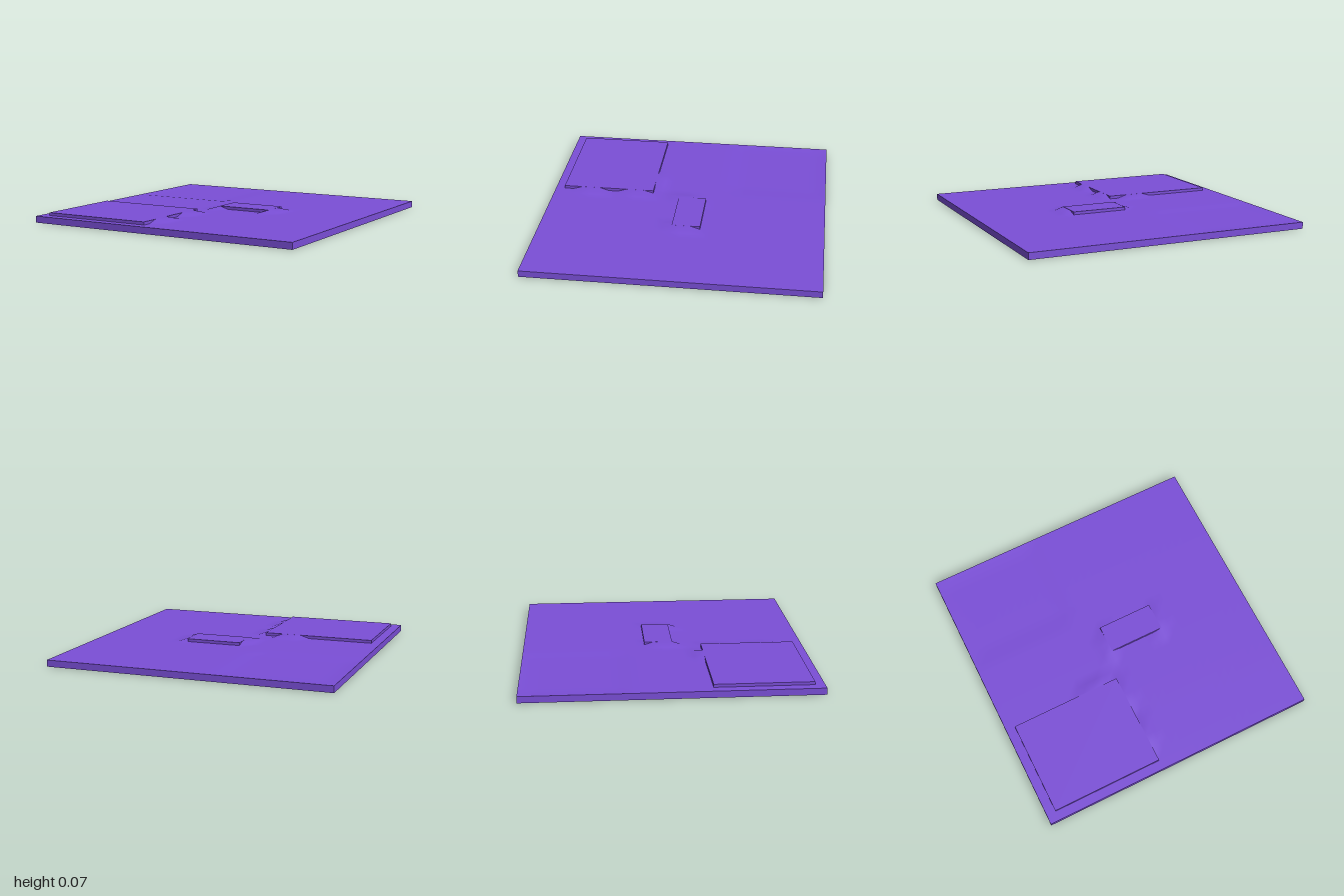
import * as THREE from 'three';

const CELL = 2 / 30;   // terrain grid step
const GROUND = 0.046;  // ground level
const TOP = 0.067;     // plateau level
const DIP = 0.005;     // depth of the shallow basin

// Ground points lifted to plateau level, as [first column, first row, last column, last row]
const RAMPS = [
  [-2, 5, -2, 7],    // large plateau, right edge, far ramp
  [-2, 10, -2, 12],  // large plateau, right edge, near ramp
  [-6, 4, -4, 4],    // large plateau, back edge
  [-1, -1, -1, 1],   // small plateau, left end
  [5, -1, 5, 1],     // small plateau, right end
];
const BASIN = [-14, -14, -4, -5];

const inside = ([x0, z0, x1, z1], i, j) => i >= x0 && i <= x1 && j >= z0 && j <= z1;

function groundHeight(x, z) {
  const i = Math.round(x / CELL), j = Math.round(z / CELL);
  if (RAMPS.some((r) => inside(r, i, j))) return TOP - 0.0003;
  return inside(BASIN, i, j) ? GROUND - DIP : GROUND;
}

export function createModel() {
  const group = new THREE.Group();
  const smooth = new THREE.MeshStandardMaterial({ color: 0x7b4fd8 });
  const flat = new THREE.MeshStandardMaterial({ color: 0x7b4fd8, flatShading: true });

  function add(name, geometry, material) {
    const mesh = new THREE.Mesh(geometry, material);
    mesh.name = name;
    group.add(mesh);
    return mesh;
  }

  // Ground surface with ramps and a shallow basin
  const ground = new THREE.PlaneGeometry(2, 2, 30, 30).rotateX(-Math.PI / 2);
  const p = ground.attributes.position;
  for (let k = 0; k < p.count; k++) p.setY(k, groundHeight(p.getX(k), p.getZ(k)));
  ground.computeVertexNormals();
  add('groundSurface', ground, smooth);

  // Slab sides and underside
  const r = Math.SQRT2;
  add('slabSides', new THREE.CylinderGeometry(r, r, GROUND, 4, 1, true, Math.PI / 4), flat)
    .position.y = GROUND / 2;
  add('slabUnderside', new THREE.PlaneGeometry(2, 2).rotateX(Math.PI / 2), flat);

  // Raised plateaus with steep walls, placed by grid lines
  function plateau(name, x0, z0, x1, z1) {
    const bottom = GROUND - 0.01;
    const box = new THREE.BoxGeometry((x1 - x0) * CELL, TOP - bottom, (z1 - z0) * CELL);
    add(name, box, flat)
      .position.set((x0 + x1) / 2 * CELL, (TOP + bottom) / 2, (z0 + z1) / 2 * CELL);
  }
  plateau('largePlateau', -14, 4, -2, 14);
  plateau('smallPlateau', -1, -2, 5, 1);

  return group;
}
